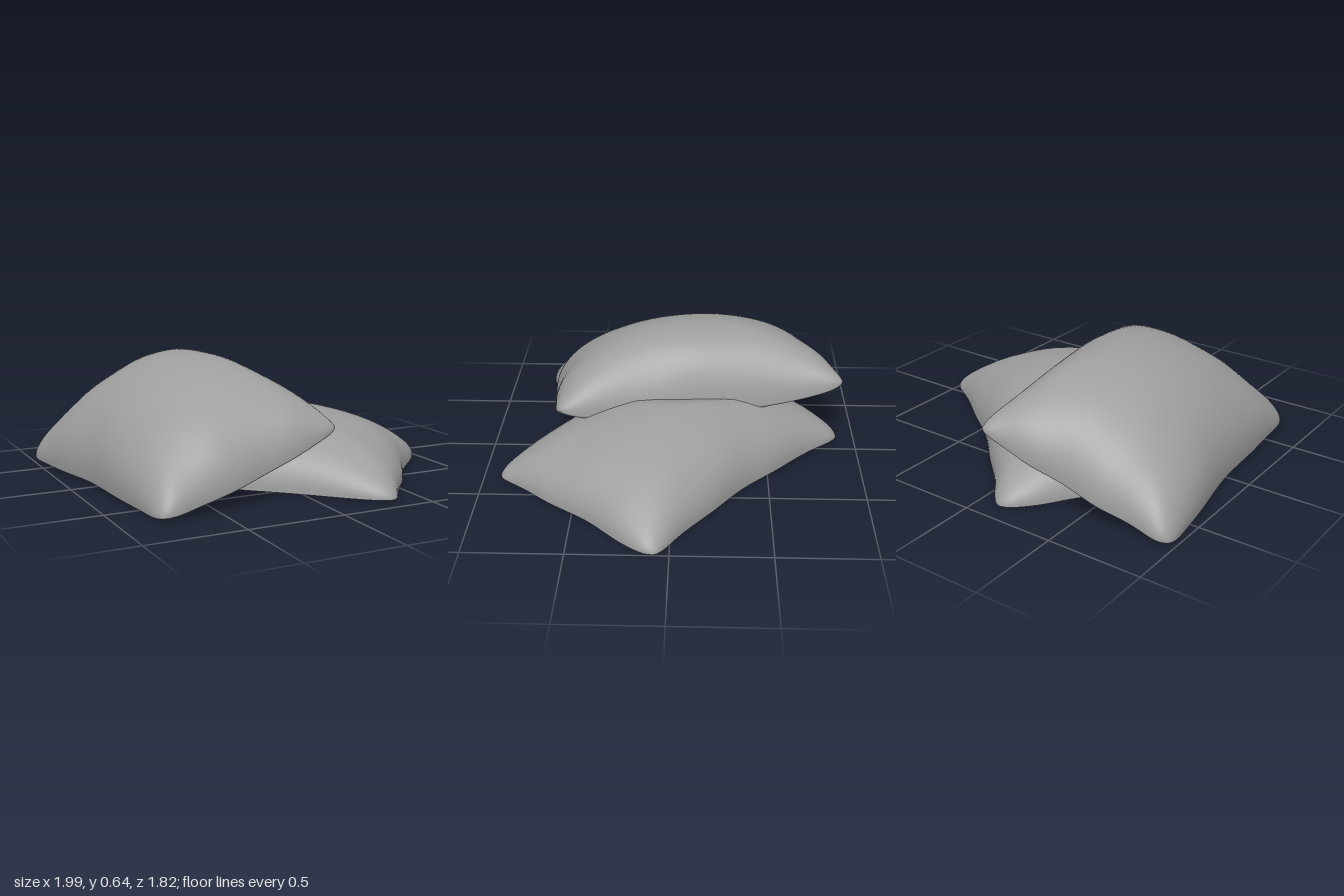
import * as THREE from 'three';
import { mergeGeometries, mergeVertices } from 'three/addons/utils/BufferGeometryUtils.js';

const N = 48;
const V = (x, y, z) => new THREE.Vector3(x, y, z);

// Sloping plane where the two pillows press together
const contact = (q) => 0.32 + 0.34 * q.x;

// Approximate top of the lower pillow, which the upper one drapes over
function lowerTop(q) {
  const x = q.x - 0.1, z = q.z;
  const s = (0.4 * x + 0.365 * z) / 0.4025;
  const t = (0.55 * z - 0.5 * x) / 0.4025;
  const dome = 0.36 * (Math.max(0, 1 - s * s) * Math.max(0, 1 - t * t)) ** 0.46;
  return Math.min(dome, contact(q) - 0.08);
}

// One cloth sheet stretched over four corners and puffed out along a direction.
// corners: [-u-v, +u-v, -u+v, +u+v]; pull: how far the -u, +u, -v, +v edges curve in
function sheet(p, side) {
  const g = new THREE.PlaneGeometry(2, 2, N, N);
  g.rotateX(-side * Math.PI / 2);
  const pos = g.attributes.position;
  const [a, b, c, d] = p.corners;
  const puff = side > 0 ? p.puff : -p.belly;
  for (let i = 0; i < pos.count; i++) {
    // sine spacing gathers rows at the rounded edges
    const s = Math.sin(pos.getX(i) * Math.PI / 2);
    const t = Math.sin(pos.getZ(i) * Math.PI / 2);
    const cu = Math.max(0, 1 - s * s), cv = Math.max(0, 1 - t * t);
    // edges pulled in between the corners, corners blunted, seam slightly wavy
    const wave = 0.01 * Math.sin(9 * s + p.seed) * Math.cos(7 * t + p.seed);
    const pu = s < 0 ? p.pull[0] : p.pull[1];
    const pv = t < 0 ? p.pull[2] : p.pull[3];
    const u = s * (1 - pu * cv - 0.05 * t ** 16 + wave);
    const v = t * (1 - pv * cu - 0.05 * s ** 16 - wave);
    const back = a.clone().lerp(b, (u + 1) / 2);
    const front = c.clone().lerp(d, (u + 1) / 2);
    const q = back.lerp(front, (v + 1) / 2);
    // raised seam sags between its corners
    q.y -= p.sag * (Math.max(0, s) ** 4 * cv ** 0.6 + 0.4 * t ** 4 * cu);
    // domed profile with faint gathers near the seam
    const gather = 1 + 0.025 * (s ** 4 * Math.sin(11 * t + p.seed) + t ** 4 * Math.sin(12 * s));
    const ru = s < 0 ? p.round[0] : p.round[1];
    q.addScaledVector(p.up, puff * cu ** ru * cv ** p.round[2] * gather);
    if (side > 0) q.y = Math.max(0.012, p.ceiling ? Math.min(q.y, p.ceiling(q)) : q.y);
    else q.y = Math.max(0.005, p.floor ? Math.max(q.y, p.floor(q)) : q.y);
    // the underside never rises past the sagging seam
    pos.setXYZ(i, q.x, q.y, q.z);
  }
  g.deleteAttribute('uv');
  g.computeVertexNormals();
  return g;
}

function pillow(name, material, p) {
  let g = mergeGeometries([sheet(p, 1), sheet(p, -1)]);
  if (p.softSeam) {
    g.deleteAttribute('normal');
    g = mergeVertices(g, 0.0005);
    g.computeVertexNormals();
  }
  const mesh = new THREE.Mesh(g, material);
  mesh.name = name;
  return mesh;
}

export function createModel() {
  const group = new THREE.Group();
  group.name = 'pillows';
  const cloth = new THREE.MeshStandardMaterial({ color: 0x9e9e9e });
  cloth.name = 'grey cloth';

  // Pillow lying flat, pressed down where the other one leans on it
  group.add(pillow('lowerPillow', cloth, {
    corners: [V(-0.14, 0.012, -0.95), V(1.05, 0.012, 0.08), V(-0.87, 0.012, -0.14), V(0.33, 0.012, 0.96)],
    up: V(0, 1, 0), puff: 0.36, belly: 0, round: [0.46, 0.46, 0.46],
    pull: [0.04, 0.03, 0.12, 0.03], sag: 0, seed: 1.3, ceiling: contact,
  }));

  // Pillow leaning over it, left edge on the ground
  group.add(pillow('upperPillow', cloth, {
    corners: [V(-1.01, 0.015, -0.75), V(-0.01, 0.415, -0.94), V(-0.83, 0.015, 0.77), V(0.22, 0.34, 0.63)],
    up: V(-0.11, 0.98, 0), puff: 0.42, belly: 0.08, round: [0.44, 0.38, 0.46],
    pull: [0.07, 0.07, 0.05, 0.02], sag: 0.1, seed: 0.4, floor: lowerTop, softSeam: true,
  }));
  return group;
}
